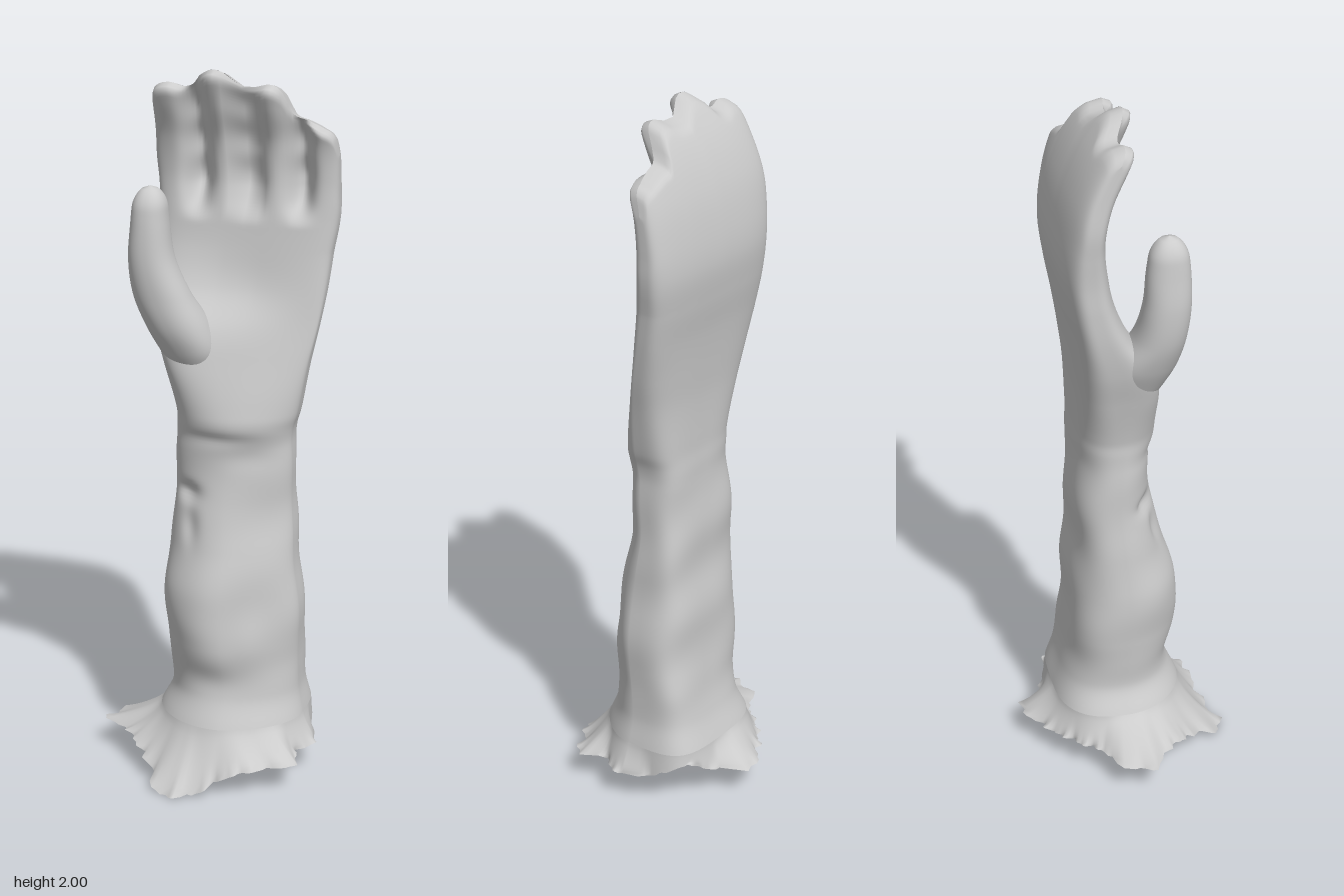
import * as THREE from 'three';

const material = new THREE.MeshStandardMaterial({ color: 0xcccccc, side: THREE.DoubleSide });
const { smoothstep, lerp, clamp } = THREE.MathUtils;
const SIDES = 144;

// Smooth interpolation through rows of [key, value, value, ...]
function sample(rows, key) {
  const last = rows.length - 1;
  const k = clamp(key, rows[0][0], rows[last][0]);
  let i = 0;
  while (i < last - 1 && k > rows[i + 1][0]) i++;
  const a = rows[i], b = rows[i + 1], h = b[0] - a[0], t = (k - a[0]) / h;
  const slope = (n, c) => {
    const p = rows[Math.max(n - 1, 0)], q = rows[Math.min(n + 1, last)];
    return (q[c] - p[c]) / (q[0] - p[0]);
  };
  const out = [];
  for (let c = 1; c < a.length; c++) {
    const t2 = t * t, t3 = t2 * t;
    out.push((2 * t3 - 3 * t2 + 1) * a[c] + (t3 - 2 * t2 + t) * h * slope(i, c)
      + (3 * t2 - 2 * t3) * b[c] + (t3 - t2) * h * slope(i + 1, c));
  }
  return out;
}

// Skin made of closed rings; point(angle, t) gives a position, t runs bottom to top
function skin(name, steps, point) {
  const positions = [], index = [];
  for (let j = 0; j <= steps; j++) {
    for (let i = 0; i < SIDES; i++) {
      positions.push(...point(i / SIDES * Math.PI * 2, j / steps));
      if (j === steps) continue;
      const p = j * SIDES + i, next = j * SIDES + (i + 1) % SIDES;
      index.push(p, p + SIDES, next, next, p + SIDES, next + SIDES);
    }
  }
  const geometry = new THREE.BufferGeometry();
  geometry.setAttribute('position', new THREE.Float32BufferAttribute(positions, 3));
  geometry.setIndex(index);
  geometry.computeVertexNormals();
  const mesh = new THREE.Mesh(geometry, material);
  mesh.name = name;
  return mesh;
}

const power = (v, e) => Math.sign(v) * Math.pow(Math.abs(v), e);
const bell = (d, w) => Math.exp(-(d * d) / (w * w));

// Forearm, palm and fingers: y, min x, max x, back z, front z at min x, front z at max x
const ARM = [
  [0.17, -0.16, 0.255, -0.2, 0.18, 0.16],
  [0.25, -0.125, 0.24, -0.175, 0.155, 0.12],
  [0.4, -0.14, 0.24, -0.155, 0.165, 0.11],
  [0.55, -0.145, 0.235, -0.15, 0.17, 0.1],
  [0.68, -0.13, 0.22, -0.14, 0.135, 0.085],
  [0.82, -0.125, 0.21, -0.14, 0.092, 0.07],
  [0.97, -0.115, 0.21, -0.13, 0.09, 0.065],
  [1.02, -0.115, 0.215, -0.13, 0.105, 0.07],
  [1.06, -0.115, 0.225, -0.13, 0.115, 0.06],
  [1.2, -0.145, 0.25, -0.135, 0.115, 0.0],
  [1.3, -0.17, 0.27, -0.145, 0.095, -0.03],
  [1.4, -0.185, 0.285, -0.158, 0.01, -0.04],
  [1.5, -0.19, 0.295, -0.175, -0.04, -0.05],
  [1.6, -0.19, 0.305, -0.185, -0.06, -0.06],
  [1.7, -0.195, 0.31, -0.175, -0.068, -0.062],
  [1.8, -0.2, 0.31, -0.15, -0.05, -0.05],
  [1.9, -0.195, 0.31, -0.105, -0.005, -0.005],
  [2.0, -0.19, 0.31, -0.035, 0.035, 0.035],
];

// Outline of the fingertips: x, height
const TIPS = [
  [-0.2, 1.9], [-0.18, 1.94], [-0.14, 1.955], [-0.1, 1.945], [-0.07, 1.955],
  [-0.05, 1.98], [-0.01, 2.0], [0.03, 1.985], [0.06, 1.955], [0.1, 1.955],
  [0.14, 1.965], [0.17, 1.945], [0.19, 1.885], [0.23, 1.865], [0.27, 1.845],
  [0.3, 1.82], [0.31, 1.77],
];
const GAPS = [-0.073, 0.07, 0.21];

// Soft folds and dents in the front: x, y, width, height, amount
const FOLDS = [
  [-0.07, 0.83, 0.04, 0.025, -0.03], [-0.05, 0.74, 0.025, 0.05, -0.015],
  [0.02, 0.5, 0.09, 0.2, 0.018], [-0.06, 0.45, 0.09, 0.06, 0.008],
  [0.14, 0.42, 0.05, 0.08, 0.01], [0.02, 0.3, 0.08, 0.05, -0.01],
  [0.12, 0.95, 0.08, 0.04, -0.008], [0.02, 1.0, 0.12, 0.02, -0.008],
  [0.06, 1.4, 0.12, 0.1, -0.012],
];

// How round each corner of the section is (1 is an ellipse, less is squarer)
function cornerRoundness(angle, y) {
  const right = Math.cos(angle) > 0, front = Math.sin(angle) > 0;
  const arm = front ? (right ? 1.1 : 1.05) : (right ? 0.48 : 0.75);
  const palm = front && !right ? 0.55 : 0.6;
  return lerp(arm, palm, smoothstep(y, 1.0, 1.25));
}

function armPoint(angle, t) {
  const rowY = lerp(0.17, 2, t);
  const round = cornerRoundness(angle, rowY);
  const c = power(Math.cos(angle), round), s = power(Math.sin(angle), round);
  const [x0, x1] = sample(ARM, rowY);
  const x = lerp(x0, x1, (c + 1) / 2);

  // Stretch the upper hand so each finger ends at its own height
  let y = rowY;
  if (rowY > 1.5) y = 1.5 + (rowY - 1.5) * (sample(TIPS, x)[0] - 1.5) / 0.5;
  const [, , back, frontA, frontB] = sample(ARM, y);
  let front = lerp(frontA, frontB, (c + 1) / 2);
  const mid = (back + (frontA + frontB) / 2) / 2;

  // Grooves between the fingers, with small lumps along them
  const groove = smoothstep(y, 1.57, 1.68);
  for (const g of GAPS) {
    front -= groove * (front - back) * bell(x - g, 0.034) * (0.6 + 0.04 * Math.sin(y * 62 + g * 40));
  }
  // Sleeve folds on the front, a gentle waviness all round
  for (const [fx, fy, w, h, d] of FOLDS) front += d * bell(x - fx, w) * bell(y - fy, h);
  const sleeve = smoothstep(y, 0.2, 0.35) * (1 - smoothstep(y, 0.95, 1.1));
  const wave = 0.002 * sleeve * (Math.sin(y * 29 + angle * 2) + Math.sin(y * 17 - angle * 3));

  // Rounded closing at the fingertips
  const q = clamp((rowY - 1.965) / 0.035, 0, 1);
  const close = Math.sqrt(1 - q * q);
  const z = s > 0 ? mid + s * (front - mid) * close : mid + s * (mid - back) * close;
  return [x + wave * c, y, z + wave * s];
}

// Thumb, its root sunk in the palm: y, min x, max x, back z, front z
const THUMB = [
  [1.18, -0.12, 0.0, -0.05, 0.065],
  [1.24, -0.15, 0.01, -0.055, 0.1],
  [1.31, -0.182, -0.008, -0.05, 0.128],
  [1.4, -0.208, -0.052, 0.0, 0.143],
  [1.5, -0.216, -0.092, 0.022, 0.15],
  [1.6, -0.208, -0.106, 0.03, 0.147],
  [1.7, -0.198, -0.113, 0.045, 0.135],
];

function thumbPoint(angle, t) {
  const y = lerp(1.18, 1.7, t);
  const [x0, x1, z0, z1] = sample(THUMB, y);
  const q = clamp((y - 1.64) / 0.06, 0, 1), close = Math.sqrt(1 - q * q) / 2;
  return [
    (x0 + x1) / 2 + (x1 - x0) * close * power(Math.cos(angle), 0.9), y,
    (z0 + z1) / 2 + (z1 - z0) * close * power(Math.sin(angle), 0.9),
  ];
}

// Ragged rim of the base seen from above: x, z
const RIM = [
  [0.05, -0.3], [0.09, -0.28], [0.11, -0.22], [0.2, -0.19], [0.22, -0.12], [0.3, -0.02],
  [0.25, 0.08], [0.285, 0.15], [0.2, 0.19], [0.15, 0.23], [0.08, 0.24], [0, 0.27], [-0.04, 0.29],
  [-0.1, 0.27], [-0.13, 0.2], [-0.19, 0.14], [-0.25, 0.07], [-0.32, 0.035],
  [-0.29, -0.06], [-0.2, -0.1], [-0.13, -0.18], [-0.04, -0.25],
].map(([x, z]) => [Math.atan2(z, x), Math.hypot(x, z)]).sort((a, b) => a[0] - b[0]);
const first = RIM[0], final = RIM[RIM.length - 1];
RIM.unshift([final[0] - Math.PI * 2, final[1]]);
RIM.push([first[0] + Math.PI * 2, first[1]]);

function rimRadius(angle) {
  const i = RIM.findIndex((r, n) => n > 0 && r[0] >= angle);
  const [a, ra] = RIM[i - 1], [b, rb] = RIM[i];
  return lerp(ra, rb, (angle - a) / (b - a));
}

function basePoint(angle, t) {
  const [ax, ay, az] = armPoint(angle, 0);
  const a = Math.atan2(az, ax);
  // Tears only affect the outermost edge
  const tear = (0.007 * Math.sin(a * 23) + 0.006 * Math.sin(a * 41 + 1)) * Math.pow(t, 5);
  const r = Math.max(rimRadius(a) + tear, Math.hypot(ax, az) + 0.004);
  const x = r * Math.cos(a), z = r * Math.sin(a);
  // The front hangs lower, and one back corner is torn away higher up
  const droop = clamp((z - 0.12) / 0.16, 0, 1) * (1 - 0.85 * smoothstep(x, 0, 0.16));
  const rimY = 0.085 * (1 - droop) + 0.6 * Math.max(tear, 0) + 0.05 * bell(a + 0.7, 0.25);
  const out = Math.pow(t, 1.3);
  return [lerp(ax, x, out), lerp(ay, rimY, t), lerp(az, z, out)];
}

export function createModel() {
  const model = new THREE.Group();
  model.name = 'handAndForearm';
  model.add(skin('forearmAndFingers', 190, armPoint));
  model.add(skin('thumb', 60, thumbPoint));
  // Rings run from the rim up to the arm so that faces look outward
  model.add(skin('raggedBase', 12, (angle, t) => basePoint(angle, 1 - t)));
  return model;
}
